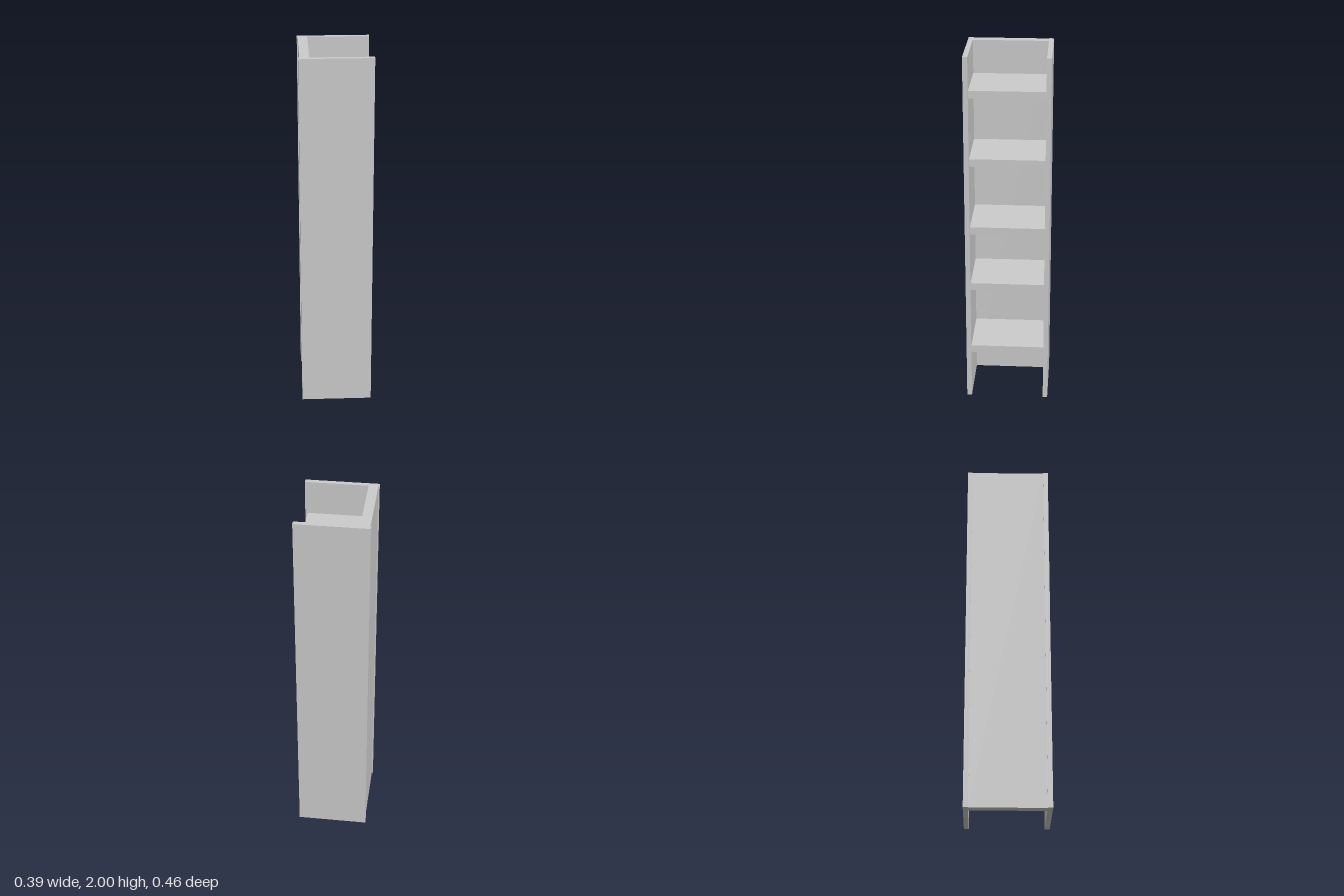
import * as THREE from 'three';

export function createModel() {
  const group = new THREE.Group();
  const material = new THREE.MeshStandardMaterial({ color: 0xcccccc, flatShading: true });

  // Box given by its minimum and maximum on each axis
  function board(name, [x0, x1], [y0, y1], [z0, z1]) {
    const mesh = new THREE.Mesh(new THREE.BoxGeometry(x1 - x0, y1 - y0, z1 - z0), material);
    mesh.position.set((x0 + x1) / 2, (y0 + y1) / 2, (z0 + z1) / 2);
    mesh.name = name;
    group.add(mesh);
  }

  // Tall side panels
  board('frontSidePanel', [-0.195, 0.195], [0, 2], [0.202, 0.229]);
  board('rearSidePanel', [-0.195, 0.195], [0, 2], [-0.23, -0.204]);

  // Back board, set in slightly from the panel edges
  board('backBoard', [-0.19, -0.139], [0, 2], [-0.204, 0.202]);

  // Shelves, open towards +x
  [0.275, 0.667, 1.005, 1.398, 1.775].forEach((y, i) =>
    board(`shelf${i + 1}`, [-0.139, 0.181], [y, y + 0.042], [-0.204, 0.202]));

  return group;
}
